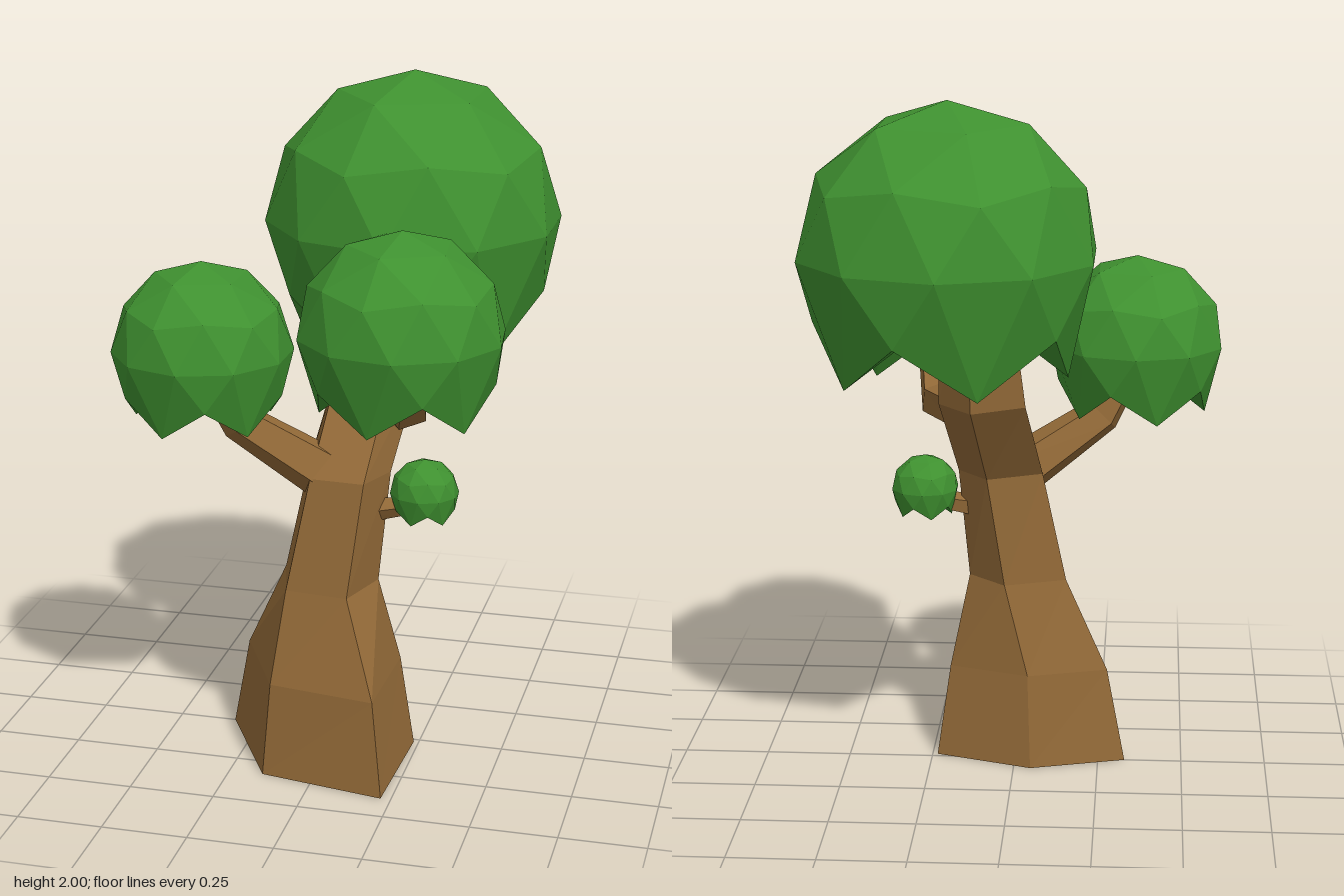
import * as THREE from 'three';

const bark = new THREE.MeshStandardMaterial({ color: 0x936a38, flatShading: true, side: THREE.DoubleSide });
bark.name = 'barkBrown';
const leaf = new THREE.MeshStandardMaterial({ color: 0x3f9130, flatShading: true });
leaf.name = 'leafGreen';

// Skin a list of equal-length rings (ordered bottom to top, anticlockwise from above).
function loft(rings) {
  const n = rings[0].length, pos = [];
  for (let i = 0; i < rings.length - 1; i++) {
    for (let j = 0; j < n; j++) {
      const k = (j + 1) % n;
      const a = rings[i][j], b = rings[i][k], c = rings[i + 1][j], d = rings[i + 1][k];
      for (const p of [a, b, d, a, d, c]) pos.push(p.x, p.y, p.z);
    }
  }
  const geo = new THREE.BufferGeometry();
  geo.setAttribute('position', new THREE.Float32BufferAttribute(pos, 3));
  geo.computeVertexNormals();
  return geo;
}

// Five-sided tapered limb; each path entry is [x, y, z, radius].
function limb(path) {
  const pts = path.map(([x, y, z]) => new THREE.Vector3(x, y, z));
  const up = new THREE.Vector3(0, 1, 0);
  return loft(pts.map((p, i) => {
    const dir = pts[Math.min(i + 1, pts.length - 1)].clone().sub(pts[Math.max(i - 1, 0)]).normalize();
    const q = new THREE.Quaternion().setFromUnitVectors(up, dir);
    return Array.from({ length: 5 }, (_, j) => {
      const a = (j / 5) * Math.PI * 2;
      return new THREE.Vector3(Math.sin(a), 0, Math.cos(a)).multiplyScalar(path[i][3]).applyQuaternion(q).add(p);
    });
  }));
}

// Faceted leaf ball, pole up, with a hollowed underside and five drooping tips.
function crownGeometry() {
  const geo = new THREE.IcosahedronGeometry(1, 1);
  geo.rotateZ(Math.atan(2 / (1 + Math.sqrt(5))));
  const p = geo.attributes.position;
  for (let i = 0; i < p.count; i++) {
    const x = p.getX(i), y = p.getY(i), z = p.getZ(i);
    if (y < -0.95) p.setXYZ(i, 0, -0.3, 0);
    else if (y < -0.7) p.setXYZ(i, x * 0.9, -0.42, z * 0.9);
    else if (y < -0.5) p.setXYZ(i, x * 0.92, -0.8, z * 0.92);
  }
  geo.computeVertexNormals();
  return geo;
}

export function createModel() {
  const tree = new THREE.Group();
  tree.name = 'tree';
  const add = (name, geo, mat) => {
    const mesh = new THREE.Mesh(geo, mat);
    mesh.name = name;
    tree.add(mesh);
    return mesh;
  };

  // Trunk: flared foot, narrow waist, then a lean to the back.
  const sections = [
    [0, [[-0.15, 0.33], [0.22, 0.395], [0.235, 0.015], [-0.05, -0.08], [-0.33, 0]]],
    [0.28, [[-0.13, 0.31], [0.185, 0.36], [0.195, 0.03], [-0.04, -0.05], [-0.275, 0.02]]],
    [0.55, [[-0.1, 0.24], [0.085, 0.26], [0.14, 0.09], [0.03, -0.015], [-0.15, 0.05]]],
    [0.88, [[-0.04, 0.19], [0.12, 0.2], [0.17, 0.07], [0.08, -0.035], [-0.08, 0.04]]],
    [1.13, [[-0.01, 0], [0.15, 0.01], [0.21, -0.13], [0.11, -0.25], [-0.04, -0.16]]],
    [1.48, [[0.02, -0.1], [0.15, -0.09], [0.2, -0.18], [0.12, -0.265], [0, -0.22]]],
  ];
  add('trunk', loft(sections.map(([y, s]) => s.map(([x, z]) => new THREE.Vector3(x, y, z)))), bark);

  // Branches
  add('rightBranch', limb([[0.02, 0.85, 0.1, 0.085], [-0.25, 1.03, 0.17, 0.06], [-0.35, 1.22, 0.2, 0.05]]), bark);
  add('frontBranch', limb([[0.14, 1.1, -0.04, 0.07], [0.22, 1.09, 0.1, 0.07], [0.26, 1.26, 0.29, 0.055]]), bark);
  add('twig', limb([[0.08, 0.76, 0.09, 0.04], [0.2, 0.78, 0.08, 0.03], [0.27, 0.82, 0.07, 0.025]]), bark);

  // Leaf balls: name, centre, radius, turn
  const geo = crownGeometry();
  for (const [name, x, y, z, r, turn] of [
    ['topCrown', 0.175, 1.57, -0.185, 0.43, 0],
    ['frontCrown', 0.255, 1.37, 0.325, 0.29, 0.12],
    ['rightCrown', -0.35, 1.245, 0.2, 0.26, 0],
    ['smallCrown', 0.27, 0.825, 0.07, 0.1, 0],
  ]) {
    const ball = add(name, geo, leaf);
    ball.position.set(x, y, z);
    ball.scale.setScalar(r);
    ball.rotation.y = turn;
  }
  return tree;
}
